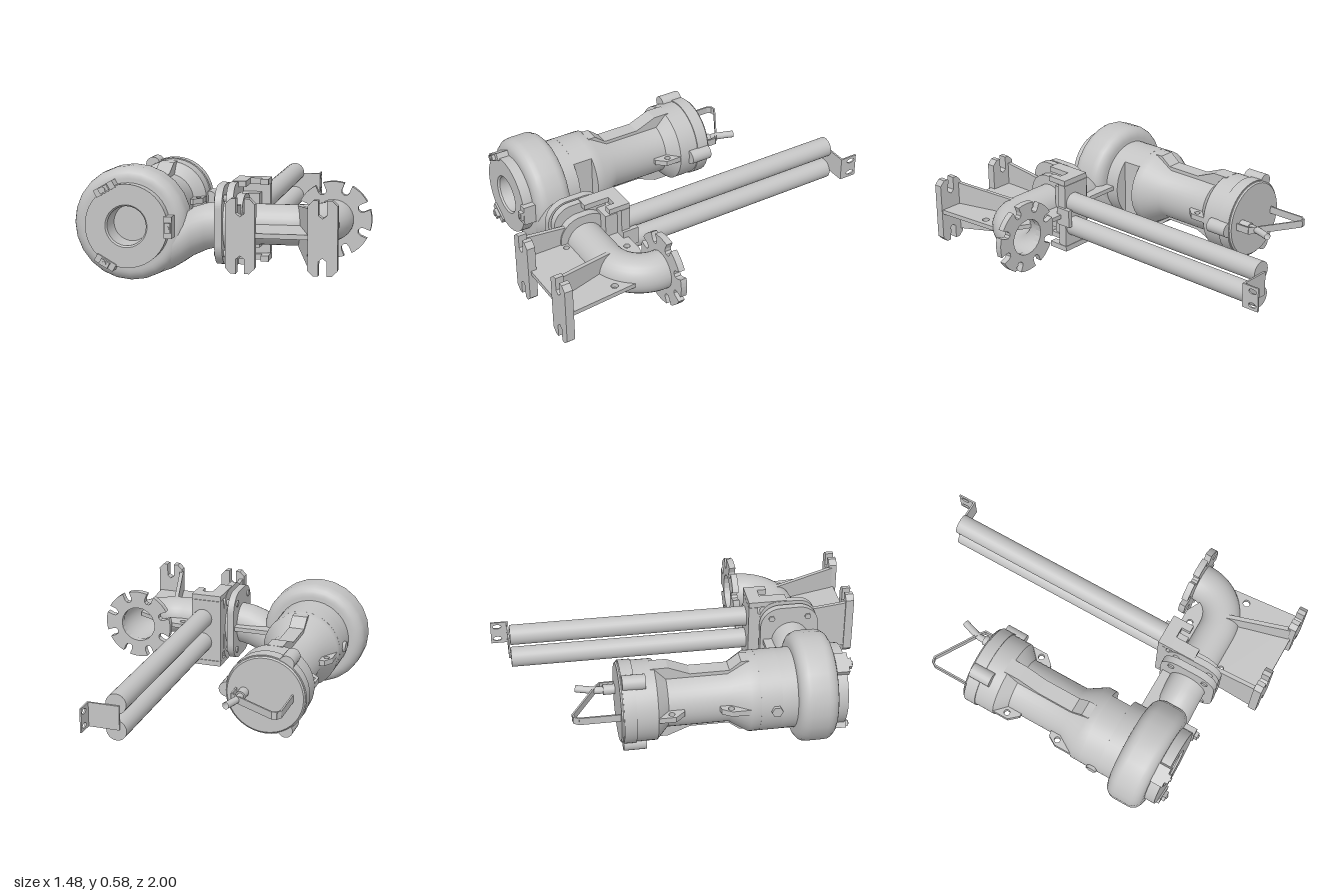
import * as THREE from 'three';
import { toCreasedNormals } from 'three/addons/utils/BufferGeometryUtils.js';

const iron = new THREE.MeshStandardMaterial({ color: 0xc4c4c4, side: THREE.DoubleSide });
iron.name = 'cast iron grey';

export function createModel() {
  const root = new THREE.Group();
  root.name = 'submersiblePump';
  const PX = -0.452, PY = 0.295; // pump axis, running along z
  const DZ = 0.615; // discharge axis, running along x

  const add = (name, geo, x = 0, y = 0, z = 0) => {
    const m = new THREE.Mesh(geo, iron);
    m.name = name;
    m.position.set(x, y, z);
    root.add(m);
    return m;
  };
  const box = (name, x0, x1, y0, y1, z0, z1) =>
    add(name, new THREE.BoxGeometry(x1 - x0, y1 - y0, z1 - z0), (x0 + x1) / 2, (y0 + y1) / 2, (z0 + z1) / 2);
  // Turned part around the pump axis: pairs of [radius, z]
  const turned = (name, pts, seg = 40) => {
    const g = new THREE.LatheGeometry(pts.map(p => new THREE.Vector2(...p)), seg).rotateX(Math.PI / 2);
    return add(name, toCreasedNormals(g, 0.6), PX, PY, 0);
  };
  const rod = (name, r, len, x, y, z, axis = 'z', seg = 20) => {
    const g = new THREE.CylinderGeometry(r, r, len, seg);
    if (axis === 'z') g.rotateX(Math.PI / 2);
    if (axis === 'x') g.rotateZ(Math.PI / 2);
    return add(name, g, x, y, z);
  };
  const poly = pts => new THREE.Shape(pts.map(p => new THREE.Vector2(...p)));
  const hole = (shape, x, y, rx, ry = rx) => {
    shape.holes.push(new THREE.Path().absellipse(x, y, rx, ry, 0, Math.PI * 2, true));
    return shape;
  };
  const extrude = (shape, depth) =>
    new THREE.ExtrudeGeometry(shape, { depth, bevelEnabled: false, curveSegments: 10 });
  // Horizontal plate from an outline in x, z
  const flatPlate = (name, shape, y, t) =>
    add(name, extrude(shape, t).rotateX(Math.PI / 2), 0, y + t / 2, 0);
  // Rounded plate facing x
  const sidePlate = (name, x0, x1, hy, hz, r) => {
    const s = new THREE.Shape();
    [[1, 1, 0], [-1, 1, 1], [-1, -1, 2], [1, -1, 3]].forEach(([a, b, q]) =>
      s.absarc(a * (hz - r), b * (hy - r), r, q * Math.PI / 2, (q + 1) * Math.PI / 2, false));
    s.closePath();
    return add(name, extrude(s, x1 - x0).rotateY(Math.PI / 2), x0, 0.3, DZ);
  };

  // Motor housing and head
  turned('motorHousing', [[0, -0.388], [0.205, -0.388], [0.212, -0.38], [0.212, -0.2], [0.15, -0.14],
    [0.15, 0.18], [0.212, 0.28], [0.212, 0.33], [0, 0.33]]);
  turned('lowerHousing', [[0, 0.44], [0.212, 0.44], [0.212, 0.54]]);
  turned('headBand', [[0.211, -0.375], [0.218, -0.375], [0.218, -0.31], [0.211, -0.31]]);
  // Housing section with a flat cut on the discharge side
  const flat = new THREE.Shape().absarc(0, 0, 0.212, 0.835, Math.PI * 2 - 0.835, false);
  const flatGeo = new THREE.ExtrudeGeometry(flat, { depth: 0.11, bevelEnabled: false, curveSegments: 32 });
  add('housingFlat', toCreasedNormals(flatGeo, 0.6), PX, PY, 0.33);

  // Volute casing
  const vol = [[0.12, 0.522]];
  for (const [z, start] of [[0.582, -Math.PI / 2], [0.668, 0]])
    for (let i = 0; i <= 6; i++) {
      const a = start + i * Math.PI / 12;
      vol.push([0.232 + 0.06 * Math.cos(a), z + 0.06 * Math.sin(a)]);
    }
  vol.push([0.12, 0.728]);
  turned('volute', vol, 24);

  // Suction cover with its bore and clamping lugs
  turned('suctionCover', [[0.212, 0.72], [0.212, 0.785], [0.108, 0.785], [0.1, 0.775],
    [0.094, 0.66], [0, 0.66]]);
  for (let i = 0; i < 3; i++) {
    const a = i * Math.PI * 2 / 3;
    const g = new THREE.Group();
    g.name = 'coverLug';
    g.position.set(PX, PY, 0);
    g.rotation.z = a;
    const lug = new THREE.Mesh(new THREE.BoxGeometry(0.04, 0.11, 0.07), iron);
    lug.position.set(0.215, 0, 0.76);
    const foot = new THREE.Mesh(new THREE.BoxGeometry(0.03, 0.05, 0.03), iron);
    foot.position.set(0.216, 0, 0.798);
    const bolt = new THREE.Mesh(new THREE.CylinderGeometry(0.011, 0.011, 0.008, 12).rotateX(Math.PI / 2), iron);
    bolt.position.set(0.216, 0, 0.815);
    g.add(lug, foot, bolt);
    root.add(g);
    // Matching bosses on the motor head
    rod('headBoss', 0.04, 0.12, PX + 0.215 * Math.cos(a), PY + 0.215 * Math.sin(a), -0.315);
  }

  // Top and bottom ribs along the motor waist
  for (const turn of [0, Math.PI]) {
    const rib = poly([[-0.22, 0.1], [-0.22, 0.212], [-0.13, 0.212], [-0.015, 0.164], [0.19, 0.164],
      [0.25, 0.212], [0.29, 0.212], [0.29, 0.1]]);
    const g = extrude(rib, 0.084).translate(0, 0, -0.042).rotateY(-Math.PI / 2);
    add('motorRib', g, PX, PY, 0).rotation.z = turn;
  }
  // Lifting ears with eyes
  for (const s of [1, -1]) {
    const ear = poly([[PX + s * 0.13, -0.2], [PX + s * 0.21, -0.2], [PX + s * 0.21, -0.11],
      [PX + s * 0.165, -0.06], [PX + s * 0.13, -0.06]]);
    flatPlate('liftingEar', hole(ear, PX + s * 0.18, -0.13, 0.016), 0.3, 0.03);
  }
  flatPlate('lowerEar', hole(poly([[-0.58, 0.12], [-0.63, 0.13], [-0.66, 0.18], [-0.66, 0.28],
    [-0.58, 0.28]]), -0.628, 0.178, 0.016), 0.3, 0.03);
  rod('drainPlug', 0.03, 0.04, -0.66, 0.3, 0.41, 'x', 6);

  // Bail handle, a bent strip
  const bail = [[-0.6, -0.38], [-0.6, -0.6], [-0.585, -0.624], [-0.56, -0.628], [-0.33, -0.49],
    [-0.298, -0.465], [-0.298, -0.38]];
  for (let i = 1; i < bail.length; i++) {
    const [x0, z0] = bail[i - 1], [x1, z1] = bail[i];
    const m = add('bailHandle', new THREE.BoxGeometry(0.009, 0.04, Math.hypot(x1 - x0, z1 - z0) + 0.006),
      (x0 + x1) / 2, 0.3, (z0 + z1) / 2);
    m.rotation.y = Math.atan2(x1 - x0, z1 - z0);
  }
  // Cable gland and cable
  rod('cableGland', 0.027, 0.07, -0.338, 0.3, -0.415);
  add('cable', new THREE.TubeGeometry(new THREE.CatmullRomCurve3([[-0.338, 0.3, -0.42], [-0.338, 0.3, -0.48],
    [-0.325, 0.3, -0.53], [-0.305, 0.3, -0.59]].map(p => new THREE.Vector3(...p))), 12, 0.019, 12));

  // Discharge neck: elliptical sections of [x, bottom, top, half depth]
  const neck = [[-0.44, 0.004, 0.16, 0.08], [-0.35, 0.022, 0.24, 0.098], [-0.25, 0.06, 0.31, 0.104],
    [-0.19, 0.096, 0.342, 0.105], [-0.14, 0.13, 0.378, 0.105], [-0.07, 0.162, 0.4, 0.105], [0.01, 0.182, 0.41, 0.105]];
  const N = 28, pos = [], idx = [];
  neck.forEach(([x, b, t, d], i) => {
    for (let j = 0; j < N; j++) {
      const a = j / N * Math.PI * 2;
      pos.push(x, (b + t) / 2 + (t - b) / 2 * Math.sin(a), 0.622 + d * Math.cos(a));
      if (i) {
        const p = (i - 1) * N + j, q = (i - 1) * N + (j + 1) % N;
        idx.push(p, p + N, q, q, p + N, q + N);
      }
    }
  });
  // Rings run from +z over the top, so faces are wound to point outward
  for (let k = 0; k < idx.length; k += 3) [idx[k + 1], idx[k + 2]] = [idx[k + 2], idx[k + 1]];
  const neckGeo = new THREE.BufferGeometry();
  neckGeo.setAttribute('position', new THREE.Float32BufferAttribute(pos, 3));
  neckGeo.setIndex(idx);
  neckGeo.computeVertexNormals();
  add('dischargeNeck', neckGeo);
  box('neckWeb', -0.25, 0, 0.288, 0.312, 0.47, 0.56);

  // Coupling flanges and bolts
  sidePlate('pumpFlange', -0.006, 0.032, 0.2, 0.16, 0.11);
  sidePlate('couplingRing', 0.03, 0.055, 0.14, 0.135, 0.13);
  sidePlate('standFlange', 0.052, 0.088, 0.208, 0.155, 0.1);
  sidePlate('standCollar', 0.088, 0.128, 0.15, 0.14, 0.12);
  for (const y of [-0.14, 0.14]) for (const z of [-0.1, 0.1])
    rod('flangeBolt', 0.018, 0.07, 0.02, 0.3 + y, DZ + z, 'x', 6);

  // Guide claw that carries the rails
  box('clawBack', 0.054, 0.225, 0.12, 0.48, 0.4, 0.45);
  box('clawCore', 0.054, 0.18, 0.16, 0.44, 0.44, 0.52);
  for (const y of [0.088, 0.482]) {
    box('clawLip', 0.054, 0.225, y, y + 0.03, 0.4, 0.47);
    box('clawProng', 0.185, 0.225, y, y + 0.03, 0.46, 0.52);
    box('clawArm', 0.054, 0.125, y, y + 0.03, 0.46, 0.61);
  }
  box('clawKeeper', 0.215, 0.24, 0.25, 0.35, 0.36, 0.45);

  // Elbow pipe and slotted outlet flange
  const path = new THREE.CurvePath();
  const V = (x, z) => new THREE.Vector3(x, 0.298, z);
  path.add(new THREE.LineCurve3(V(0.08, DZ), V(0.33, DZ)));
  path.add(new THREE.CubicBezierCurve3(V(0.33, DZ), V(0.45, DZ), V(0.545, 0.535), V(0.545, 0.41)));
  path.add(new THREE.LineCurve3(V(0.545, 0.41), V(0.545, 0.372)));
  add('elbowPipe', new THREE.TubeGeometry(path, 48, 0.103, 28));
  const rim = [], R = 0.196, w = 0.021;
  for (let k = 0; k < 8; k++) {
    const a = (k + 0.5) * Math.PI / 4, d = Math.asin(w / R), c = Math.cos(a), s = Math.sin(a);
    const at = (u, v) => rim.push([u * c - v * s, u * s + v * c]);
    at(R * Math.cos(d), -w);
    for (let j = 0; j <= 4; j++) {
      const b = -Math.PI / 2 - j * Math.PI / 4;
      at(0.158 + w * Math.cos(b), w * Math.sin(b));
    }
    at(R * Math.cos(d), w);
    for (let j = 1; j < 5; j++) {
      const b = a + d + (Math.PI / 4 - 2 * d) * j / 5;
      rim.push([R * Math.cos(b), R * Math.sin(b)]);
    }
  }
  add('outletFlange', extrude(hole(poly(rim), 0, 0, 0.1), 0.035), 0.545, 0.298, 0.372);

  // Stand: web plate, feet with open slots, and gussets
  const web = poly([[0.1, 0.985], [0.1, 0.42], [0.36, 0.42], [0.59, 0.54], [0.628, 0.985]]);
  hole(web, 0.305, 0.467, 0.017);
  hole(web, 0.556, 0.683, 0.019);
  flatPlate('standWeb', hole(web, 0.155, 0.74, 0.015), 0.3, 0.024);
  for (const x of [0.163, 0.56]) {
    const half = [[-0.072, 0.155], [-0.045, 0.182], [-0.02, 0.182], [-0.02, 0.11], [0, 0.095],
      [0.02, 0.11], [0.02, 0.182], [0.045, 0.182], [0.072, 0.155]];
    const foot = poly([...half, ...half.map(([a, b]) => [-a, -b])]);
    add('standFoot', extrude(foot, 0.045), x, 0.298, 0.955);
  }
  const gusset = (name, x0, z0, x1, z1, h0, h1) => {
    const L = Math.hypot(x1 - x0, z1 - z0);
    const g = extrude(poly([[0, -h0], [L, -h1], [L, h1], [0, h0]]), 0.022).translate(0, 0, -0.011);
    add(name, g, x0, 0.298, z0).rotation.y = -Math.atan2(z1 - z0, x1 - x0);
  };
  gusset('leftGusset', 0.4, 0.62, 0.495, 0.97, 0.1, 0.14);
  gusset('rightGusset', 0.11, 0.62, 0.11, 0.97, 0.1, 0.14);

  // Guide rails and their end bracket
  for (const y of [0.37, 0.228]) rod('guideRail', 0.055, 1.31, 0.161, y, -0.245, 'z', 28);
  box('bracketPlate', 0.14, 0.312, 0.235, 0.365, -0.912, -0.902);
  const tab = poly([[0.902, 0.235], [1, 0.235], [1, 0.365], [0.902, 0.365]]);
  for (const y of [0.262, 0.338]) hole(tab, 0.965, y, 0.024, 0.013);
  add('bracketTab', extrude(tab, 0.009).rotateY(Math.PI / 2), 0.304, 0, 0);
  return root;
}
